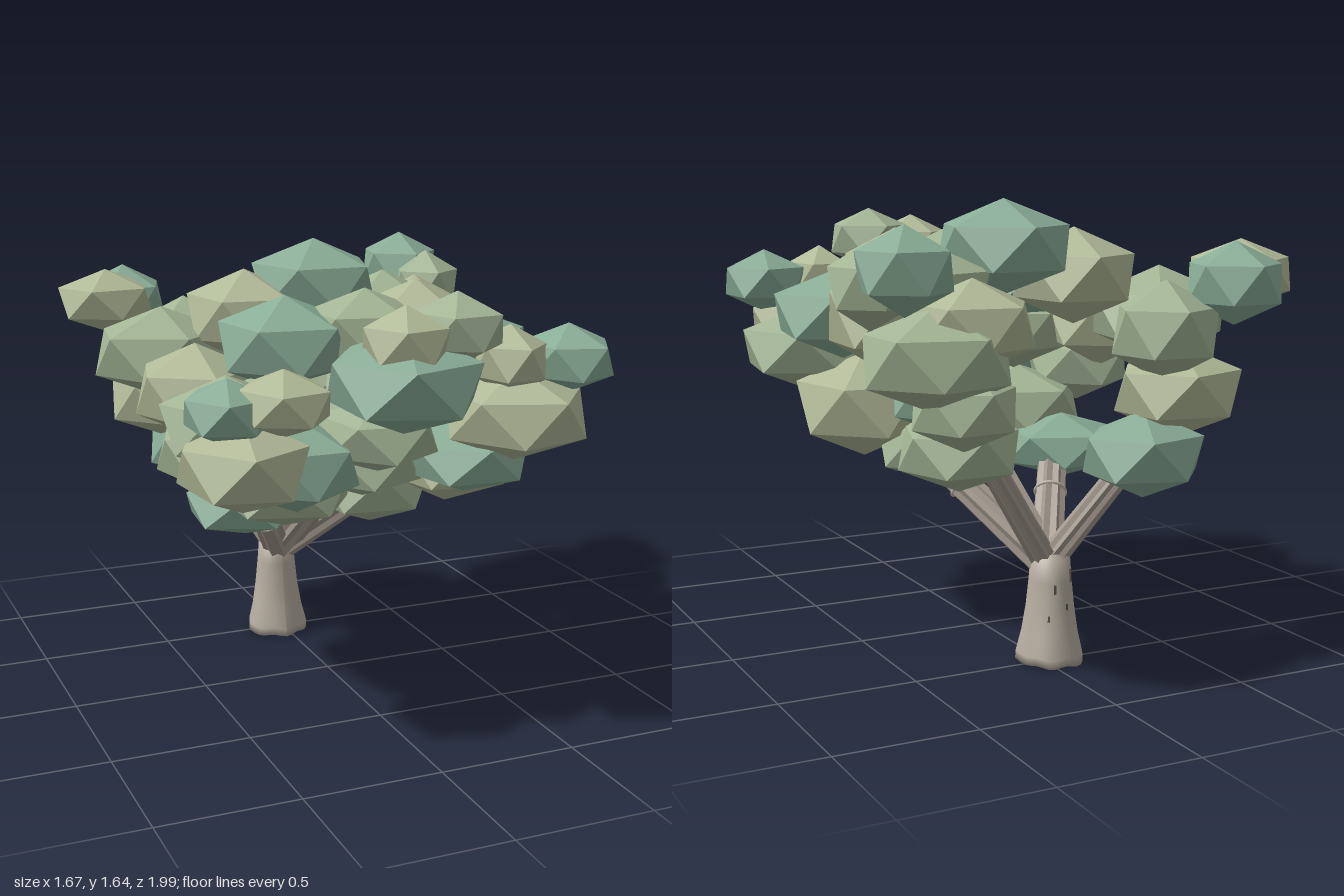
import * as THREE from 'three';

const BARK = new THREE.MeshStandardMaterial({ color: 0xb6ada0 });
const BRANCH = new THREE.MeshStandardMaterial({ color: 0xa3998e, flatShading: true });
const COLLAR = new THREE.MeshStandardMaterial({ color: 0xc4bbad });
const KNOT = new THREE.MeshStandardMaterial({ color: 0x5d554d });
const leaf = (color) => new THREE.MeshStandardMaterial({ color, flatShading: true });
const LEAVES = { t: leaf(0x8aad97), m: leaf(0xa3b595), l: leaf(0xb1ba98) };

// Leaf clumps: shade, centre x y z, then half-width, half-height, half-depth
const CLUMPS = {
  frontCrown: [
    ['t', -0.03, 1.28, 0.73, 0.25, 0.17, 0.27],
    ['l', -0.05, 1.42, 0.78, 0.14, 0.12, 0.15],
    ['m', 0.15, 1.45, 0.75, 0.15, 0.12, 0.16],
    ['m', 0.2, 1.28, 0.47, 0.16, 0.14, 0.18],
    ['m', -0.03, 1.06, 0.52, 0.2, 0.13, 0.22],
    ['m', 0.0, 0.92, 0.33, 0.2, 0.13, 0.22],
  ],
  frontLeftCrown: [
    ['t', 0.63, 1.3, 0.66, 0.15, 0.12, 0.17],
    ['l', 0.43, 1.12, 0.66, 0.24, 0.16, 0.24],
    ['m', 0.54, 1.06, 0.42, 0.24, 0.16, 0.26],
    ['l', 0.4, 1.31, 0.66, 0.12, 0.12, 0.14],
    ['t', 0.33, 0.94, 0.48, 0.22, 0.13, 0.22],
  ],
  frontRightCrown: [
    ['l', -0.55, 1.02, 0.6, 0.21, 0.16, 0.25],
    ['t', -0.6, 1.2, 0.6, 0.14, 0.11, 0.16],
    ['l', -0.43, 1.23, 0.67, 0.15, 0.11, 0.17],
    ['m', -0.54, 1.12, 0.42, 0.22, 0.16, 0.22],
    ['t', -0.32, 0.97, 0.5, 0.21, 0.16, 0.2],
  ],
  middleCrown: [
    ['t', -0.22, 1.32, 0.13, 0.23, 0.17, 0.24],
    ['m', 0.06, 1.36, 0.2, 0.21, 0.15, 0.19],
    ['l', 0.3, 1.36, 0.12, 0.19, 0.16, 0.2],
    ['t', 0.55, 1.23, 0.02, 0.24, 0.16, 0.24],
    ['l', -0.52, 1.15, 0.02, 0.21, 0.17, 0.21],
    ['m', -0.52, 0.97, 0.2, 0.19, 0.15, 0.22],
    ['m', 0.05, 1.12, 0.2, 0.25, 0.15, 0.22],
    ['m', -0.22, 1.12, 0.17, 0.2, 0.15, 0.18],
  ],
  lowerCrown: [
    ['l', 0.42, 0.87, 0.15, 0.24, 0.19, 0.265],
    ['m', 0.18, 0.73, -0.01, 0.23, 0.15, 0.21],
    ['m', -0.25, 0.82, 0.2, 0.24, 0.15, 0.24],
    ['t', -0.31, 0.69, -0.06, 0.22, 0.12, 0.2],
  ],
  topCrown: [
    ['t', 0.06, 1.47, -0.29, 0.23, 0.165, 0.24],
    ['l', -0.22, 1.36, -0.3, 0.21, 0.17, 0.23],
    ['m', 0.38, 1.32, -0.35, 0.21, 0.17, 0.2],
    ['l', 0.56, 1.26, -0.43, 0.2, 0.19, 0.21],
    ['m', -0.52, 1.22, -0.4, 0.25, 0.17, 0.21],
  ],
  backLeftCrown: [
    ['t', 0.67, 1.44, -0.82, 0.15, 0.14, 0.16],
    ['m', 0.71, 1.38, -0.64, 0.13, 0.14, 0.14],
    ['l', 0.4, 1.25, -0.74, 0.2, 0.15, 0.19],
    ['m', 0.53, 1.15, -0.75, 0.24, 0.17, 0.21],
    ['t', 0.4, 1.0, -0.57, 0.19, 0.13, 0.19],
    ['m', 0.42, 0.98, -0.72, 0.17, 0.14, 0.17],
    ['m', 0.36, 0.81, -0.55, 0.2, 0.14, 0.2],
  ],
  backRightCrown: [
    ['l', -0.65, 1.38, -0.72, 0.18, 0.12, 0.16],
    ['t', -0.55, 1.36, -0.83, 0.16, 0.14, 0.16],
    ['m', -0.32, 1.2, -0.76, 0.18, 0.17, 0.17],
    ['l', -0.42, 0.98, -0.69, 0.22, 0.16, 0.2],
    ['t', -0.27, 0.77, -0.71, 0.21, 0.15, 0.19],
  ],
};

// Icosahedron turned so one corner points straight up
const clumpGeometry = new THREE.IcosahedronGeometry(1, 0).rotateZ(Math.atan(2 / (1 + Math.sqrt(5))));

function makeCrown(name, rows, seed) {
  const crown = new THREE.Group();
  crown.name = name;
  rows.forEach(([shade, x, y, z, w, h, d], i) => {
    const g = clumpGeometry.clone().rotateY((seed * 5 + i) * 2.4);
    g.scale(w * 1.15, h * 1.03, d * 1.15);
    const clump = new THREE.Mesh(g, LEAVES[shade]);
    clump.name = 'leafClump';
    clump.position.set(x, y, z);
    crown.add(clump);
  });
  return crown;
}

// Flared trunk with a slightly wavy foot
function makeTrunk() {
  const profile = [[0, 0], [0.118, 0], [0.117, 0.03], [0.1, 0.11], [0.086, 0.2], [0.076, 0.3], [0.07, 0.38], [0, 0.41]];
  const g = new THREE.LatheGeometry(profile.map(([r, y]) => new THREE.Vector2(r, y)), 32);
  const p = g.attributes.position;
  for (let i = 0; i < p.count; i++) {
    const x = p.getX(i), y = p.getY(i), z = p.getZ(i);
    const a = Math.atan2(z, x), foot = Math.max(0, 1 - y / 0.2);
    const k = 1 + 0.04 * foot * Math.sin(5 * a) + 0.02 * Math.sin(3 * a);
    const lift = y < 0.05 ? 0.004 * (1 + Math.sin(7 * a)) : 0;
    p.setXYZ(i, x * k, y + lift, z * k * 1.05);
  }
  g.computeVertexNormals();
  const trunk = new THREE.Mesh(g, BARK);
  trunk.name = 'trunk';
  trunk.position.set(-0.03, 0, -0.49);
  return trunk;
}

// Ridged branch from a to b, with a pale collar partway
function makeBranch(name, a, b, r, collarAt) {
  const start = new THREE.Vector3(...a), dir = new THREE.Vector3(...b).sub(start);
  const length = dir.length();
  const group = new THREE.Group();
  group.name = name;
  const g = new THREE.CylinderGeometry(r * 0.85, r, length, 16, 1).translate(0, length / 2, 0);
  const p = g.attributes.position;
  for (let i = 0; i < p.count; i++) {
    const step = Math.round((Math.atan2(p.getZ(i), p.getX(i)) / Math.PI) * 8);
    const k = step % 2 ? 0.84 : 1.04;
    p.setXYZ(i, p.getX(i) * k, p.getY(i), p.getZ(i) * k);
  }
  const limb = new THREE.Mesh(g, BRANCH);
  limb.name = 'limb';
  group.add(limb);
  if (collarAt) {
    const ring = new THREE.Mesh(new THREE.TorusGeometry(r * 0.95, 0.006, 6, 20).rotateX(Math.PI / 2), COLLAR);
    ring.name = 'collar';
    ring.position.y = length * collarAt;
    group.add(ring);
  }
  group.position.copy(start);
  group.quaternion.setFromUnitVectors(new THREE.Vector3(0, 1, 0), dir.normalize());
  return group;
}

export function createModel() {
  const tree = new THREE.Group();
  tree.name = 'tree';
  tree.add(makeTrunk());

  tree.add(
    makeBranch('frontRightBranch', [-0.03, 0.37, -0.46], [-0.27, 0.73, -0.07], 0.06, 0.52),
    makeBranch('frontLeftBranch', [-0.01, 0.37, -0.46], [0.25, 0.7, -0.1], 0.06, 0.72),
    makeBranch('middleBranch', [-0.02, 0.37, -0.46], [0.04, 0.82, 0.06], 0.06, 0),
    makeBranch('backLeftBranch', [-0.01, 0.37, -0.48], [0.28, 0.78, -0.6], 0.047, 0),
    makeBranch('backRightBranch', [-0.04, 0.37, -0.48], [-0.25, 0.74, -0.66], 0.047, 0),
  );

  // Small dark bark marks on the back of the trunk
  [[-0.6, 0.32], [0.3, 0.27], [-0.2, 0.2], [0.55, 0.16]].forEach(([a, y]) => {
    const r = 0.075 + 0.1 * Math.max(0, 0.3 - y);
    const mark = new THREE.Mesh(new THREE.BoxGeometry(0.008, 0.05, 0.012), KNOT);
    mark.name = 'barkMark';
    mark.position.set(-0.03 + Math.sin(a) * r, y, -0.49 - Math.cos(a) * r);
    mark.rotation.y = -a;
    tree.add(mark);
  });

  Object.entries(CLUMPS).forEach(([name, rows], i) => tree.add(makeCrown(name, rows, i)));
  return tree;
}
